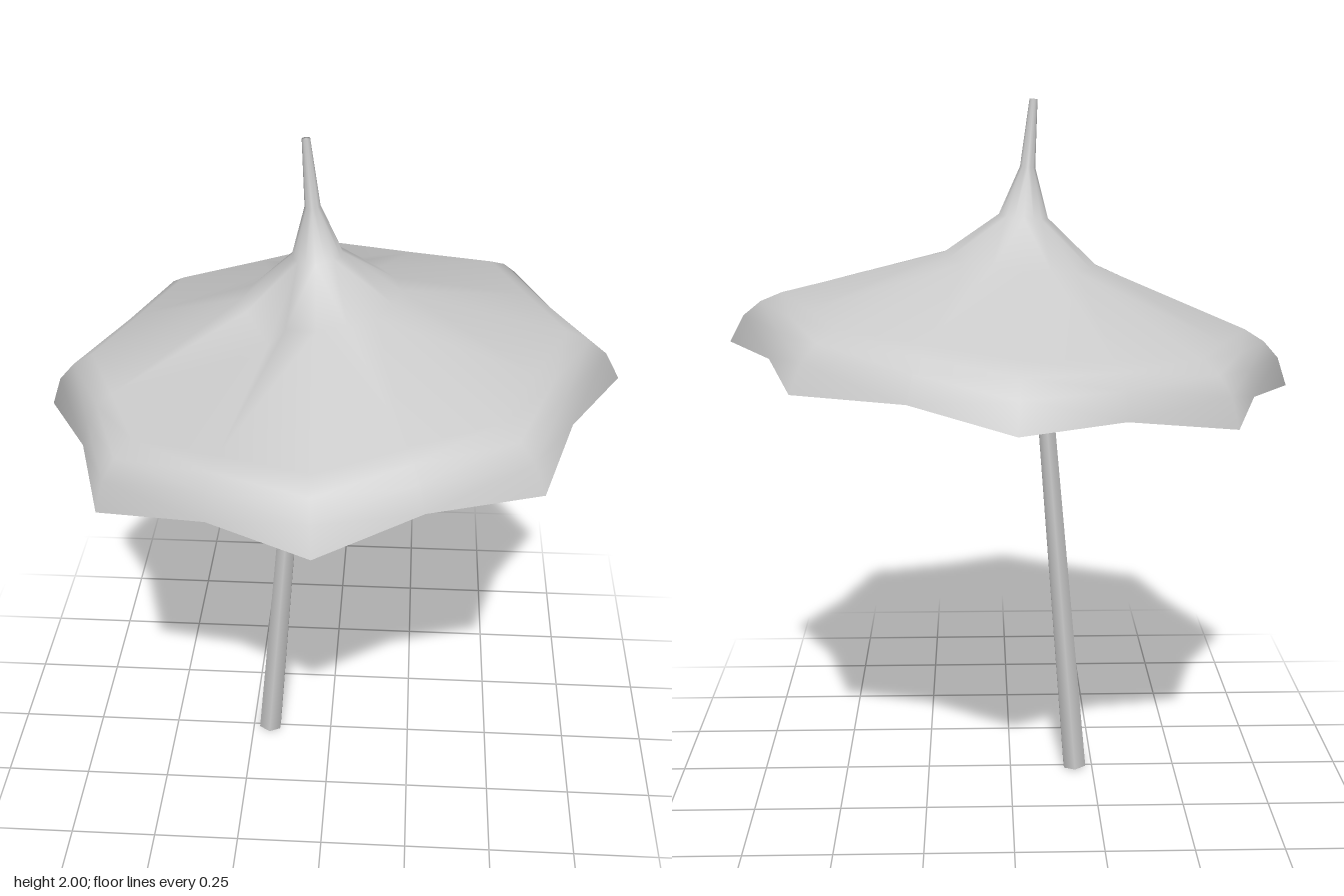
import * as THREE from 'three';

const TILT = 0.0854;

// Canopy rows, rim to tip: rib radius, height, radius factor and lift between ribs
const ROWS = [
  [0.793, 0.0, 0.886, 0.02],
  [0.759, 0.078, 0.895, 0.012],
  [0.713, 0.122, 0.905, 0.006],
  [0.655, 0.152, 0.92, 0],
  [0.216, 0.298, 0.98, 0],
  [0.068, 0.419, 1, 0],
  [0.021, 0.553, 1, 0],
  [0.011, 0.735, 1, 0],
];
const SIDES = 16;

function canopyGeometry() {
  const pos = [], index = [];
  ROWS.forEach(([r, h, factor, lift], row) => {
    for (let i = 0; i < SIDES; i++) {
      const a = (i / SIDES) * Math.PI * 2;
      const between = i % 2 === 1;
      let radius = between ? r * factor : r;
      let y = between ? h + lift : h;
      // One rib is dented inward at the shoulder (front, model's right)
      if (row === 4 && i === 6) {
        radius -= 0.02;
        y -= 0.075;
      }
      pos.push(Math.cos(a) * radius, y, Math.sin(a) * radius);
    }
  });
  for (let row = 0; row < ROWS.length - 1; row++) {
    for (let i = 0; i < SIDES; i++) {
      const j = (i + 1) % SIDES;
      const a = row * SIDES + i, b = row * SIDES + j;
      const c = a + SIDES, d = b + SIDES;
      // Mirror the diagonals on either side of each rib
      if (i % 2 === 0) index.push(a, c, b, b, c, d);
      else index.push(a, d, b, a, c, d);
    }
  }
  // Small cap closing the tip
  const last = (ROWS.length - 1) * SIDES;
  const centre = pos.length / 3;
  pos.push(0, 0.735, 0);
  for (let i = 0; i < SIDES; i++) index.push(last + i, centre, last + ((i + 1) % SIDES));

  const g = new THREE.BufferGeometry();
  g.setAttribute('position', new THREE.Float32BufferAttribute(pos, 3));
  g.setIndex(index);
  g.computeVertexNormals();
  return g;
}

export function createModel() {
  const model = new THREE.Group();
  model.name = 'parasol';

  // Scalloped canopy with its spire, tilted up towards +x
  const canopy = new THREE.Mesh(
    canopyGeometry(),
    new THREE.MeshStandardMaterial({ color: 0xcccccc, side: THREE.DoubleSide })
  );
  canopy.name = 'canopy';
  canopy.position.y = 1.267;
  canopy.rotation.z = TILT;
  model.add(canopy);

  // Tapered six-sided pole, leaning the opposite way
  const length = 1.64;
  const poleGeometry = new THREE.CylinderGeometry(0.022, 0.038, length, 6);
  poleGeometry.translate(0, length / 2, 0);
  const pole = new THREE.Mesh(poleGeometry, new THREE.MeshStandardMaterial({ color: 0xcccccc }));
  pole.name = 'pole';
  pole.position.set(-0.197, 0.003, 0);
  pole.rotation.z = -TILT;
  model.add(pole);

  return model;
}
